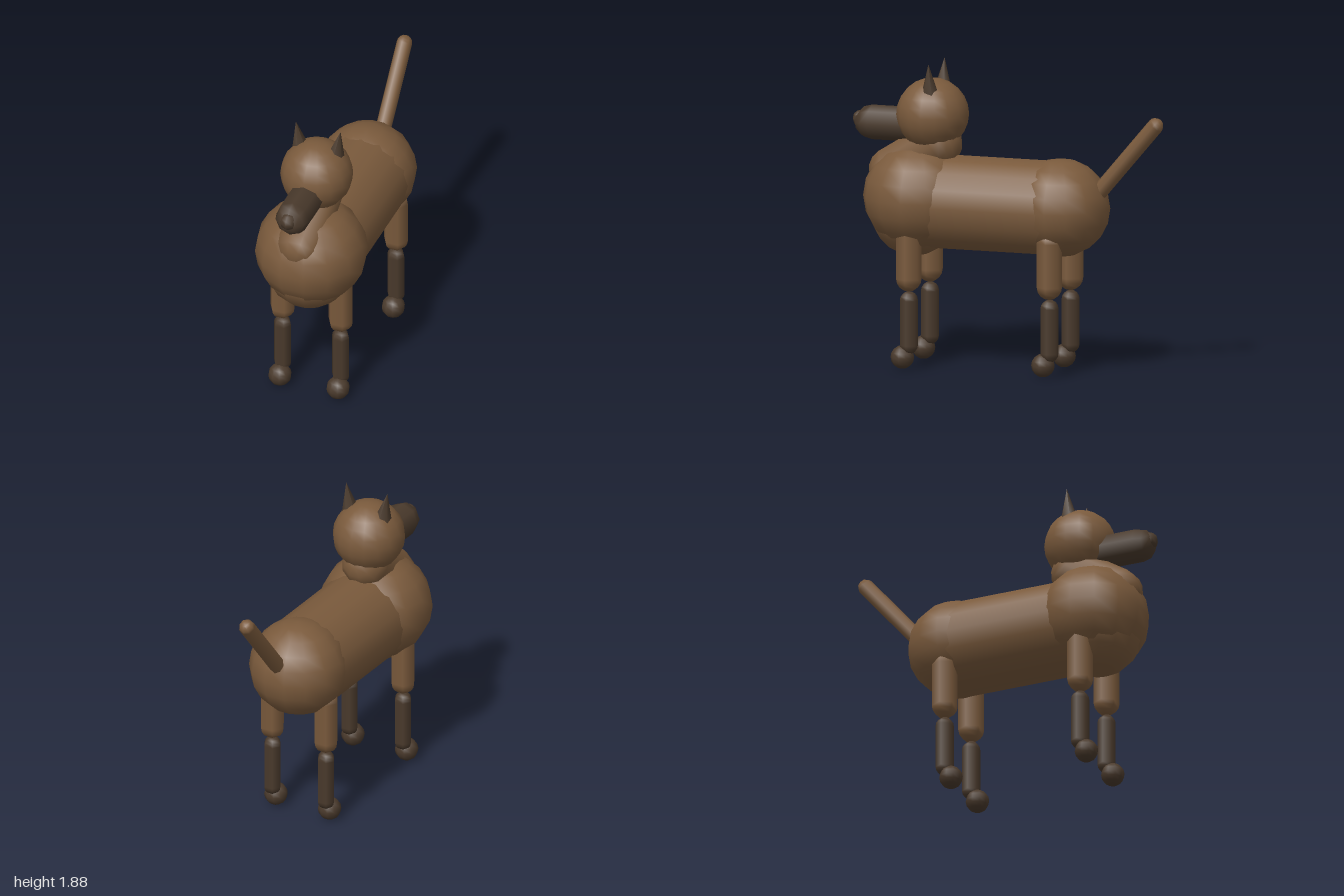
import * as THREE from 'three';

export function createModel() {
  const root = new THREE.Group();
  root.name = 'dog';
  const coat = new THREE.MeshStandardMaterial({ color: 0x7a5a3c });
  coat.name = 'brownCoat';
  const dark = new THREE.MeshStandardMaterial({ color: 0x4a3a2c });
  dark.name = 'darkMarkings';

  const add = (name, geometry, material) => {
    const mesh = new THREE.Mesh(geometry, material);
    mesh.name = name;
    root.add(mesh);
    return mesh;
  };
  const ball = (name, r, x, y, z, material, w = 14, h = 10) => {
    const mesh = add(name, new THREE.SphereGeometry(r, w, h), material);
    mesh.position.set(x, y, z);
    return mesh;
  };
  // Capsule whose end-cap centres are the points a and b
  const limb = (name, r, a, b, material, sides = 8, caps = 4) => {
    const start = new THREE.Vector3(...a), end = new THREE.Vector3(...b);
    const axis = end.clone().sub(start);
    const mesh = add(name, new THREE.CapsuleGeometry(r, axis.length(), caps, sides), material);
    mesh.position.copy(start).add(end).multiplyScalar(0.5);
    mesh.quaternion.setFromUnitVectors(new THREE.Vector3(0, 1, 0), axis.normalize());
    return mesh;
  };

  // Trunk
  limb('torso', 0.291, [0, 1.015, -0.3], [0, 1.015, 0.52], coat, 16, 5);
  ball('chest', 0.345, 0, 1.04, 0.57, coat).scale.y = 0.96;
  ball('brisket', 0.275, 0, 0.95, 0.6, coat);
  ball('hips', 0.305, 0, 1.02, -0.34, coat).scale.y = 0.985;

  // Neck and head
  limb('neck', 0.15, [0, 1.19, 0.74], [0, 1.37, 0.45], coat, 10);
  ball('head', 0.222, 0, 1.55, 0.485, coat, 16, 12);
  limb('muzzle', 0.107, [0, 1.478, 0.6], [0, 1.478, 0.875], dark, 8, 3);
  ball('nose', 0.054, 0, 1.495, 0.946, dark, 8, 6);

  // Ears, leaning slightly outwards
  for (const s of [1, -1]) {
    const ear = add(s > 0 ? 'leftEar' : 'rightEar', new THREE.ConeGeometry(0.055, 0.19, 6), dark);
    ear.position.set(s * 0.13, 1.785, 0.46);
    ear.rotation.z = -s * 0.17;
  }

  // Legs
  for (const s of [1, -1]) {
    for (const [place, z] of [['Front', 0.57], ['Rear', -0.337]]) {
      const side = (s > 0 ? 'left' : 'right') + place;
      const x = s * 0.19;
      limb(side + 'UpperLeg', 0.079, [x, 0.56, z], [x, 0.83, z], coat, 6);
      limb(side + 'LowerLeg', 0.056, [x, 0.15, z], [x, 0.427, z], dark, 6);
      ball(side + 'Paw', 0.072, x, 0.075, z + 0.042, dark, 10, 8);
    }
  }

  // Tail
  limb('tail', 0.05, [0, 1.1, -0.565], [0, 1.557, -0.952], coat, 8);

  return root;
}
